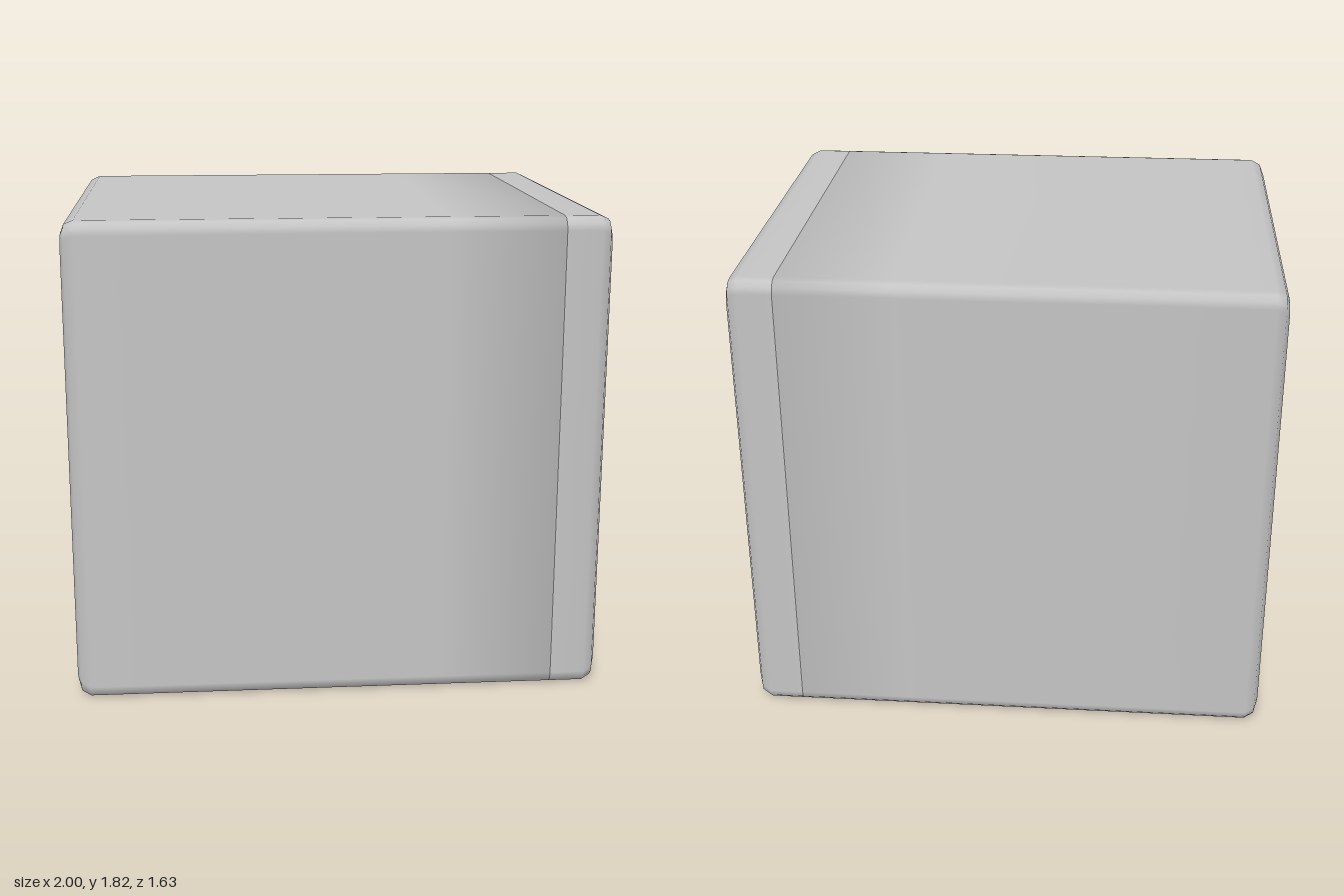
import * as THREE from 'three';
import { toCreasedNormals } from 'three/addons/utils/BufferGeometryUtils.js';

const H = 0.91, W = 0.815, R = 0.05, SEG = 3;

// Rounded-rectangle outline: corner direction plus sign of the corner centre
const outline = [];
for (let q = 0; q < 4; q++) {
  const m = (q + 0.5) * Math.PI / 2;
  for (let s = 0; s <= SEG; s++) {
    const a = (q + s / SEG) * Math.PI / 2;
    outline.push([Math.cos(a), Math.sin(a), Math.sign(Math.cos(m)), Math.sign(Math.sin(m))]);
  }
}

// Sweeps a profile of [x, inset] points around the outline.
// cap: -1 closes the first ring, 1 closes the last ring.
function sweep(profile, cap = 0) {
  const pos = [], nor = [], idx = [], n = outline.length;
  const segNormal = i => {
    const a = profile[i], b = profile[i + 1];
    if (!a || !b) return new THREE.Vector2();
    return new THREE.Vector2(b[1] - a[1], b[0] - a[0]).normalize();
  };
  profile.forEach(([x, d], i) => {
    const v = segNormal(i - 1).add(segNormal(i)).normalize();
    for (const [c, s, sy, sz] of outline) {
      pos.push(x, H + sy * (H - d - R) + R * c, sz * (W - d - R) + R * s);
      nor.push(v.x, v.y * c, v.y * s);
    }
  });
  for (let i = 0; i < profile.length - 1; i++) {
    for (let j = 0; j < n; j++) {
      const k = (j + 1) % n, a = i * n, b = a + n;
      idx.push(a + j, a + k, b + k, a + j, b + k, b + j);
    }
  }
  if (cap) {
    const row = cap < 0 ? 0 : profile.length - 1, centre = pos.length / 3;
    pos.push(profile[row][0], H, 0);
    nor.push(cap, 0, 0);
    for (let j = 0; j < n; j++) {
      const a = row * n + j, b = row * n + (j + 1) % n;
      if (cap < 0) idx.push(centre, b, a);
      else idx.push(centre, a, b);
    }
  }
  const g = new THREE.BufferGeometry();
  g.setAttribute('position', new THREE.Float32BufferAttribute(pos, 3));
  g.setAttribute('normal', new THREE.Float32BufferAttribute(nor, 3));
  g.setIndex(idx);
  return g;
}

// Thin shelf: a wavy or flat section run along x
function shelfGeometry(height) {
  const top = [], T = 0.015, half = 0.7, steps = 56;
  for (let i = 0; i <= steps; i++) {
    const z = -half + 2 * half * i / steps;
    const wave = Math.abs(z) > 0.6 ? 0 : (1 + Math.cos((z - 0.15) / 0.3 * 2 * Math.PI)) / 2;
    top.push(new THREE.Vector2(z, height * Math.pow(wave, 1.7)));
  }
  const pts = height ? top : [top[0], top[steps]];
  const under = pts.map(p => new THREE.Vector2(p.x, p.y - T)).reverse();
  const g = new THREE.ExtrudeGeometry(new THREE.Shape([...under.reverse(), ...[...pts].reverse()]),
    { depth: 1.66, bevelEnabled: false });
  g.rotateY(Math.PI / 2);
  g.translate(-0.84, 0, 0);
  return toCreasedNormals(g, 0.8);
}

export function createModel() {
  const model = new THREE.Group();
  const grey = new THREE.MeshStandardMaterial({ color: 0xc4c4c4 });
  grey.name = 'grey';
  const add = (name, geometry, parent = model, y = 0) => {
    const mesh = new THREE.Mesh(geometry, grey);
    mesh.name = name;
    mesh.position.y = y;
    parent.add(mesh);
  };

  // Cabinet: rounded shell, hollow inside
  const cabinet = new THREE.Group();
  cabinet.name = 'cabinet';
  add('cabinetShell', sweep([[-1, 0.09], [-1, 0.05], [-0.985, 0.015], [-0.95, 0],
    [0.4, 0], [0.82, 0], [0.82, 0.11]], -1), cabinet);
  add('cavityWalls', sweep([[0.82, 0.11], [-0.85, 0.11]]), cabinet);
  add('cavityBack', sweep([[-0.85, 0.11], [-0.85, 0.2]], 1), cabinet);
  model.add(cabinet);

  // Door frame with an open window
  const door = new THREE.Group();
  door.name = 'doorFrame';
  add('doorFrameFront', sweep([[0.82, 0], [0.95, 0], [0.985, 0.015], [1, 0.05],
    [1, 0.16], [0.985, 0.195], [0.95, 0.21], [0.82, 0.21]]), door);
  add('doorFrameBack', sweep([[0.82, 0.21], [0.82, 0]]), door);
  model.add(door);

  // Shelves
  const wavy = shelfGeometry(0.05);
  add('upperWavyShelf', wavy, model, 1.15);
  add('middleFlatShelf', shelfGeometry(0), model, 0.757);
  add('lowerWavyShelf', wavy, model, 0.32);
  return model;
}
